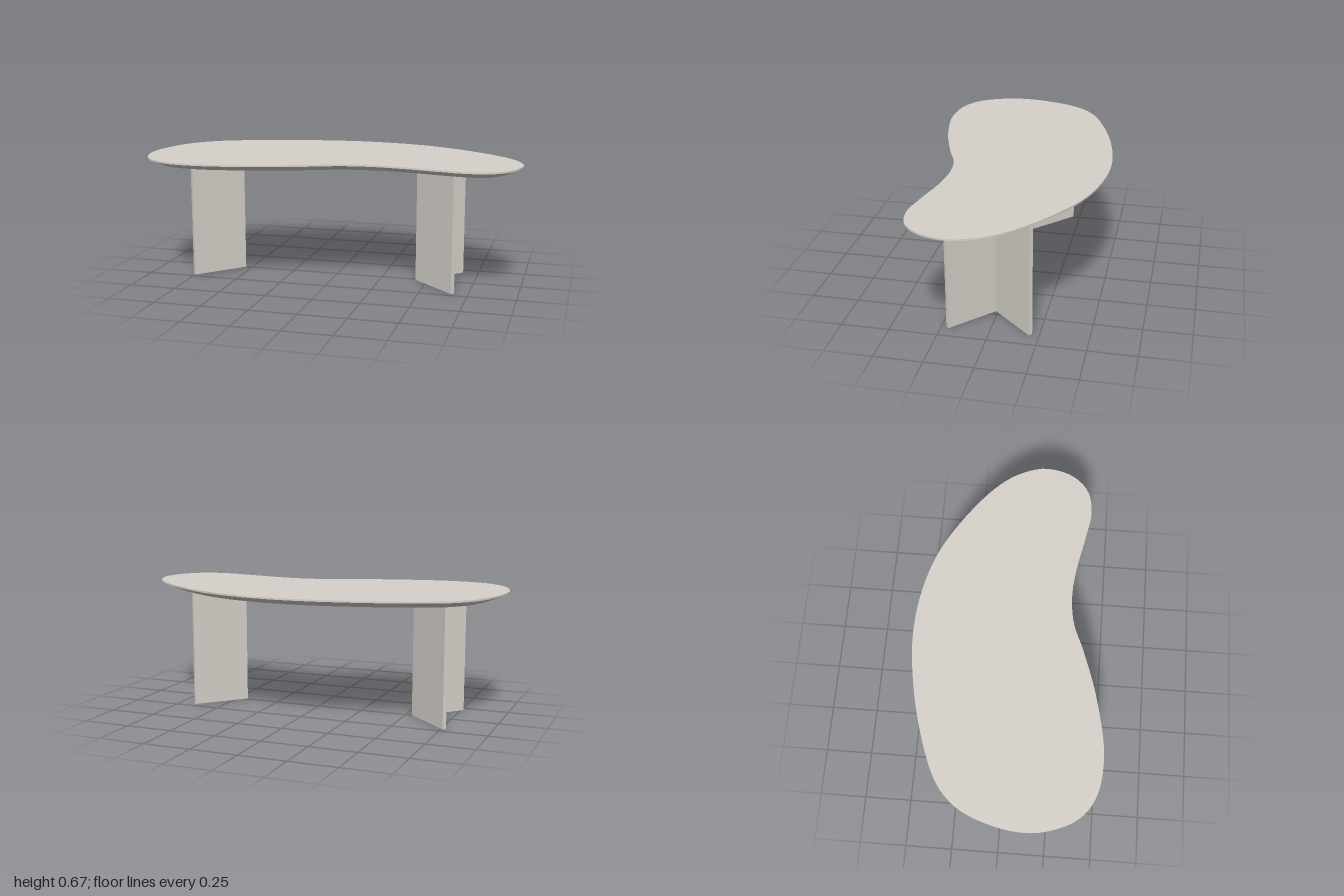
import * as THREE from 'three';

const TOP_Y = 0.665, RIM_Y = 0.656, UNDER_Y = 0.625, INSET = 0.077;

// Kidney outline as x, z points, clockwise seen from above
const OUTLINE = [
  [-1, 0.13], [-0.97, -0.05], [-0.905, -0.2], [-0.8, -0.305], [-0.6, -0.395], [-0.3, -0.475],
  [0, -0.508], [0.27, -0.478], [0.5, -0.4], [0.8, -0.205], [0.93, -0.07], [0.988, 0.05],
  [1, 0.13], [0.965, 0.26], [0.88, 0.347], [0.75, 0.375], [0.6, 0.352], [0.4, 0.312],
  [0.25, 0.298], [0.1, 0.315], [-0.05, 0.373], [-0.3, 0.452], [-0.6, 0.502], [-0.8, 0.475],
  [-0.91, 0.4], [-0.978, 0.27],
];

// Smooth ring of points, moved inward by the given distance
function makeRing(inset) {
  const curve = new THREE.CatmullRomCurve3(
    OUTLINE.map(([x, z]) => new THREE.Vector3(x, 0, z)), true, 'centripetal');
  const count = 160, ring = [];
  for (let i = 0; i < count; i++) {
    const p = curve.getPointAt(i / count), t = curve.getTangentAt(i / count);
    ring.push(new THREE.Vector2(p.x - t.z * inset, p.z + t.x * inset));
  }
  return ring;
}

// Band of quads joining two rings
function makeBand(upper, upperY, lower, lowerY) {
  const n = upper.length, positions = [], index = [];
  upper.forEach((p) => positions.push(p.x, upperY, p.y));
  lower.forEach((p) => positions.push(p.x, lowerY, p.y));
  for (let i = 0; i < n; i++) {
    const j = (i + 1) % n;
    index.push(n + i, i, j, n + i, j, n + j);
  }
  const geometry = new THREE.BufferGeometry();
  geometry.setAttribute('position', new THREE.Float32BufferAttribute(positions, 3));
  geometry.setIndex(index);
  geometry.computeVertexNormals();
  return geometry;
}

// Flat face filling a ring, facing up or down
function makeFace(ring, y, up) {
  const sign = up ? -1 : 1;
  const shape = new THREE.Shape(ring.map((p) => new THREE.Vector2(p.x, sign * p.y)));
  return new THREE.ShapeGeometry(shape).rotateX(sign * Math.PI / 2).translate(0, y, 0);
}

// Two upright panels meeting at a right angle
function makeLegGeometry() {
  const l = 0.31, t = 0.021;
  const shape = new THREE.Shape(
    [[0, 0], [l, 0], [l, t], [t, t], [t, l], [0, l]].map(([x, y]) => new THREE.Vector2(x, y)));
  return new THREE.ExtrudeGeometry(shape, { depth: UNDER_Y, bevelEnabled: false })
    .rotateX(-Math.PI / 2);
}

export function createModel() {
  const model = new THREE.Group();
  model.name = 'table';
  const stone = new THREE.MeshStandardMaterial({ color: 0xd6d1ca });
  stone.name = 'warm pale grey';

  const add = (parent, name, geometry) => {
    const mesh = new THREE.Mesh(geometry, stone);
    mesh.name = name;
    parent.add(mesh);
    return mesh;
  };

  // Tabletop: thin rim with a wide bevel beneath
  const top = new THREE.Group();
  top.name = 'tabletop';
  model.add(top);
  const outer = makeRing(0), inner = makeRing(INSET);
  add(top, 'topSurface', makeFace(outer, TOP_Y, true));
  add(top, 'rim', makeBand(outer, TOP_Y, outer, RIM_Y));
  add(top, 'underBevel', makeBand(outer, RIM_Y, inner, UNDER_Y));
  add(top, 'underside', makeFace(inner, UNDER_Y, false));

  // Legs: the same angled pair of panels, turned half round
  const legGeometry = makeLegGeometry();
  const turn = THREE.MathUtils.degToRad(-43.5);
  const leftLeg = add(model, 'leftLeg', legGeometry);
  leftLeg.position.set(0.4385, 0, 0.011);
  leftLeg.rotation.y = turn;
  const rightLeg = add(model, 'rightLeg', legGeometry);
  rightLeg.position.set(-0.535, 0, 0);
  rightLeg.rotation.y = turn + Math.PI;

  return model;
}
